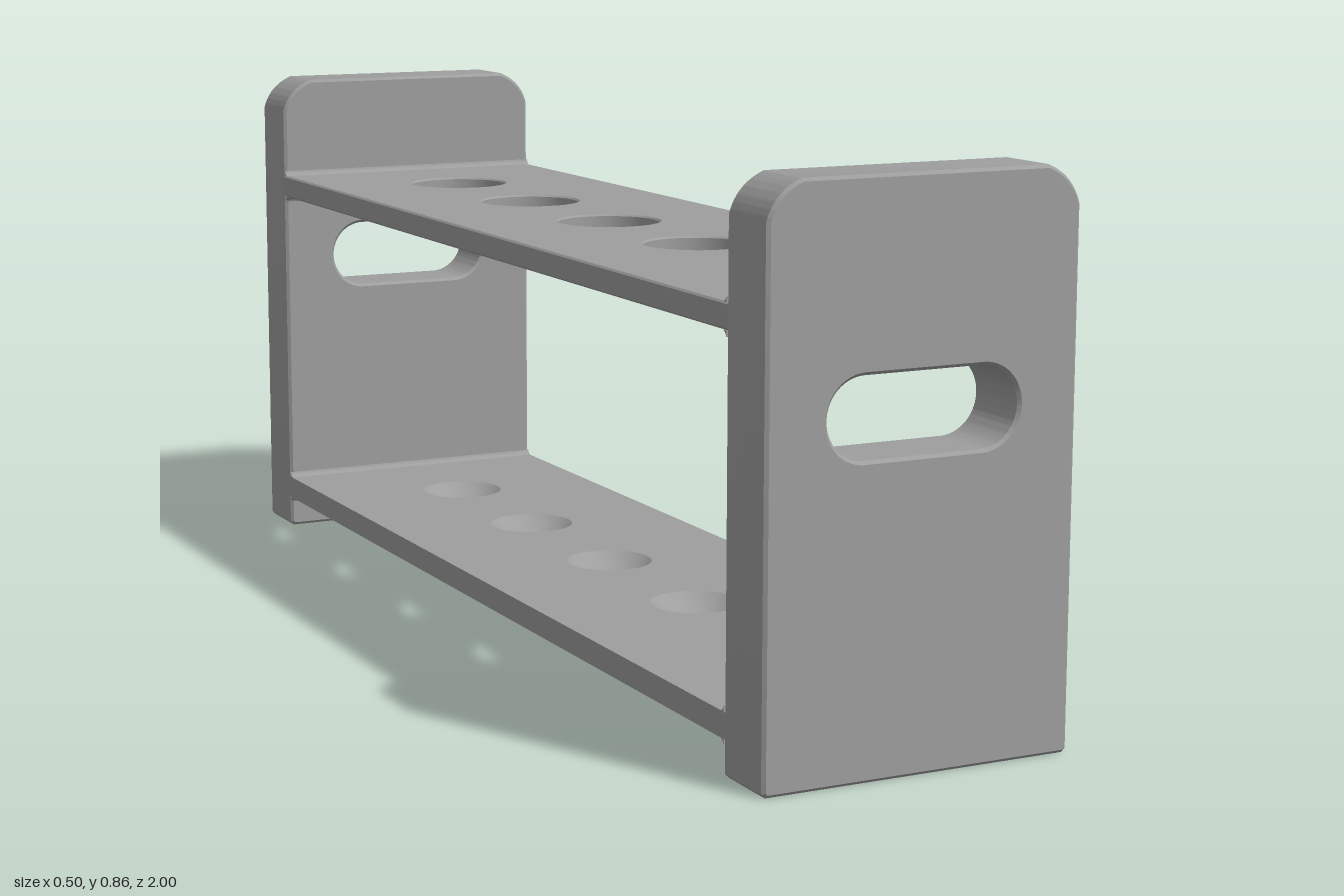
import * as THREE from 'three';
import { toCreasedNormals } from 'three/addons/utils/BufferGeometryUtils.js';

const W = 0.252, H = 0.86, INNER = 0.885, END_T = 0.115, SHELF_T = 0.04;
const HOLE_Z = [-0.635, -0.3175, 0, 0.3175, 0.635];
const material = new THREE.MeshStandardMaterial({ color: 0x9e9e9e });

// Extrusion of exact thickness t with chamfered edges of size b
function slab(shape, t, b) {
  const geo = new THREE.ExtrudeGeometry(shape, {
    depth: t - 2 * b, curveSegments: 24, bevelEnabled: b > 0,
    bevelThickness: b, bevelSize: b, bevelOffset: -b, bevelSegments: 1,
  });
  geo.translate(0, 0, b);
  return toCreasedNormals(geo, 0.4);
}

function add(group, name, geo, mat = material) {
  const mesh = new THREE.Mesh(geo, mat);
  mesh.name = name;
  group.add(mesh);
  return mesh;
}

// End panel outline: clipped, rounded top corners and a handle slot
function endShape() {
  const s = new THREE.Shape();
  s.moveTo(-W + 0.006, 0);
  s.lineTo(W - 0.006, 0);
  s.lineTo(W, 0.006);
  s.lineTo(W, 0.802);
  s.quadraticCurveTo(0.241, 0.843, 0.198, H);
  s.lineTo(-0.198, H);
  s.quadraticCurveTo(-0.241, 0.843, -W, 0.802);
  s.lineTo(-W, 0.006);
  s.closePath();
  const r = 0.06, cx = 0.095, cy = 0.523;
  const slot = new THREE.Path();
  slot.absarc(cx, cy, r, -Math.PI / 2, Math.PI / 2, false);
  slot.absarc(-cx, cy, r, Math.PI / 2, Math.PI * 1.5, false);
  s.holes.push(slot);
  return s;
}

// Shelf outline with a row of round holes
function shelfShape(radius) {
  const L = INNER + 0.012;
  const s = new THREE.Shape();
  s.moveTo(-W, -L);
  s.lineTo(W, -L);
  s.lineTo(W, L);
  s.lineTo(-W, L);
  s.closePath();
  for (const z of HOLE_Z) {
    const h = new THREE.Path();
    h.absarc(0, -z, radius, 0, Math.PI * 2, true);
    s.holes.push(h);
  }
  return s;
}

// Concave strip that blends a shelf into an end panel
function filletGeometry(quarterTurns) {
  const f = 0.009;
  const s = new THREE.Shape();
  s.moveTo(0, 0);
  s.lineTo(f, 0);
  s.quadraticCurveTo(f * 0.25, f * 0.25, 0, f);
  s.closePath();
  const geo = new THREE.ExtrudeGeometry(s, { depth: 2 * W, bevelEnabled: false, curveSegments: 4 });
  geo.translate(0, 0, -W);
  geo.rotateZ(quarterTurns * Math.PI / 2);
  geo.rotateY(Math.PI / 2);
  return geo;
}

export function createModel() {
  const group = new THREE.Group();
  group.name = 'tubeRack';

  // End panels
  const endGeo = slab(endShape(), END_T, 0.005);
  add(group, 'frontEndPanel', endGeo).position.z = INNER;
  add(group, 'backEndPanel', endGeo).position.z = -INNER - END_T;

  // Upper shelf with through holes
  const upperY = 0.64, lowerY = 0.056;
  const upper = slab(shelfShape(0.085), SHELF_T, 0.003);
  upper.rotateX(-Math.PI / 2);
  add(group, 'upperShelf', upper).position.y = upperY;

  // Lower shelf: holed layer over a thin solid base
  const base = 0.006;
  const lower = slab(shelfShape(0.073), SHELF_T - base, 0);
  lower.rotateX(-Math.PI / 2);
  add(group, 'lowerShelf', lower).position.y = lowerY + base;
  add(group, 'lowerShelfBase', new THREE.BoxGeometry(2 * W, base, 2 * INNER + 0.02))
    .position.y = lowerY + base / 2;

  // Shallow spherical seats in the lower shelf
  const rim = 0.073, depth = 0.03;
  const R = (rim * rim + depth * depth) / (2 * depth);
  const profile = [];
  for (let i = 0; i <= 8; i++) {
    const a = Math.asin(rim / R) * (1 - i / 8);
    profile.push(new THREE.Vector2(R * Math.sin(a), R - depth - R * Math.cos(a)));
  }
  const seatGeo = new THREE.LatheGeometry(profile, 48);
  const seatMat = material.clone();
  seatMat.side = THREE.DoubleSide;
  HOLE_Z.forEach((z, i) => {
    add(group, `tubeSeat${i + 1}`, seatGeo, seatMat).position.set(0, lowerY + SHELF_T, z);
  });

  // Fillets above and below each shelf at both ends
  for (const y of [lowerY, upperY]) {
    const corners = [[y + SHELF_T, INNER], [y + SHELF_T, -INNER], [y, -INNER], [y, INNER]];
    corners.forEach(([cy, cz], k) => {
      add(group, 'shelfFillet', filletGeometry(k)).position.set(0, cy, cz);
    });
  }
  return group;
}
